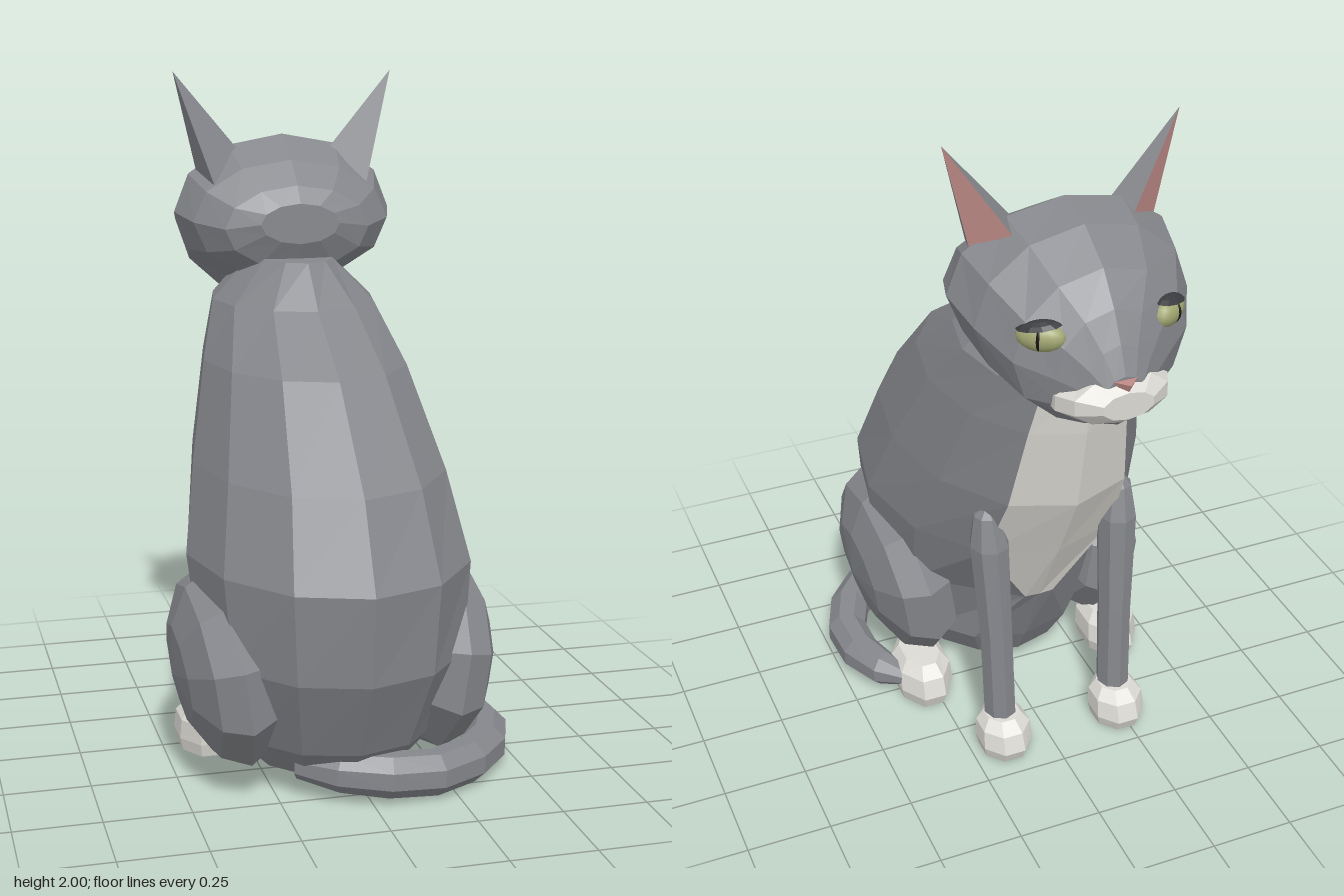
import * as THREE from 'three';

const mat = (color, opts = {}) => new THREE.MeshStandardMaterial({ color, flatShading: true, ...opts });
const FUR = mat(0x85878c), LIGHT = mat(0xdcdad4), DARK = mat(0x3c3d40);
const EAR = mat(0x85878c, { side: THREE.DoubleSide }), PINK = mat(0xc08c88, { side: THREE.DoubleSide });
const IRIS = mat(0xa3a873, { flatShading: false }), PUPIL = mat(0x151515, { flatShading: false });

function add(parent, name, geometry, material) {
  const mesh = new THREE.Mesh(geometry, material);
  mesh.name = name;
  parent.add(mesh);
  return mesh;
}

function fromTriangles(points) {
  const g = new THREE.BufferGeometry().setFromPoints(points);
  g.computeVertexNormals();
  return g;
}

// Skin between rings of points; keep(i, j) selects quads, ends are capped on request
function loft(rings, keep = () => true, caps = true) {
  const out = [], n = rings[0].length;
  for (let i = 0; i < rings.length - 1; i++) {
    for (let j = 0; j < n; j++) {
      if (!keep(i, j)) continue;
      const k = (j + 1) % n;
      const a = rings[i][j], b = rings[i][k], c = rings[i + 1][k], d = rings[i + 1][j];
      out.push(a, b, c, a, c, d);
    }
  }
  if (caps) {
    [rings[0], rings[rings.length - 1]].forEach((ring, end) => {
      const mid = ring.reduce((m, p) => m.add(p), new THREE.Vector3()).divideScalar(n);
      ring.forEach((p, j) => {
        const q = ring[(j + 1) % n];
        out.push(...(end ? [mid, p, q] : [mid, q, p]));
      });
    });
  }
  return fromTriangles(out);
}

// Horizontal ring: height, front z, back z, half width, centre x
function levelRing([y, z0, z1, w, x = 0], n, warp = (a) => a) {
  return Array.from({ length: n }, (_, j) => {
    const a = warp((j / n) * Math.PI * 2, j);
    return new THREE.Vector3(x + w * Math.sin(a), y, (z0 + z1) / 2 + ((z1 - z0) / 2) * Math.cos(a));
  });
}

// Upright ring: depth z, bottom y, top y, half width
function uprightRing([z, y0, y1, w], n) {
  return Array.from({ length: n }, (_, j) => {
    const a = (j / n) * Math.PI * 2;
    return new THREE.Vector3(w * Math.sin(a), (y0 + y1) / 2 + ((y1 - y0) / 2) * Math.cos(a), z);
  });
}

function buildBody(cat) {
  const sections = [
    [0.06, -0.02, 0.5, 0.24], [0.16, -0.08, 0.6, 0.31], [0.4, -0.19, 0.72, 0.385],
    [0.66, -0.33, 0.745, 0.41], [0.9, -0.45, 0.63, 0.365], [1.17, -0.5, 0.37, 0.3],
    [1.33, -0.52, 0.13, 0.245], [1.455, -0.45, 0.01, 0.12],
  ];
  // The bib narrows to a point at the belly
  const rings = sections.map((s, i) => levelRing(s, 12, (a, j) =>
    i === 2 && (j === 5 || j === 7) ? Math.PI + (j - 6) * 0.12 : a));
  const bib = (i, j) => i >= 2 && (j === 5 || j === 6);
  add(cat, 'body', loft(rings, (i, j) => !bib(i, j)), FUR);
  add(cat, 'chestBib', loft(rings, bib, false), LIGHT);
}

function buildHead(cat) {
  const head = new THREE.Group();
  head.name = 'head';
  cat.add(head);
  const skull = [
    [-0.08, 1.5, 1.62, 0.12], [-0.12, 1.42, 1.67, 0.22], [-0.2, 1.38, 1.74, 0.3],
    [-0.32, 1.35, 1.81, 0.337], [-0.45, 1.3, 1.785, 0.31], [-0.57, 1.265, 1.715, 0.25],
    [-0.64, 1.285, 1.63, 0.16], [-0.685, 1.31, 1.55, 0.1], [-0.72, 1.35, 1.475, 0.06],
  ];
  add(head, 'skull', loft(skull.map((s) => uprightRing(s, 12))), FUR);
  const muzzle = [
    [-0.57, 1.34, 1.41, 0.17], [-0.64, 1.315, 1.46, 0.17],
    [-0.7, 1.325, 1.47, 0.14], [-0.745, 1.36, 1.44, 0.075],
  ];
  add(head, 'muzzle', loft(muzzle.map((s) => uprightRing(s, 10))), LIGHT);

  const nose = add(head, 'nose', new THREE.ConeGeometry(0.04, 0.045, 3), PINK);
  nose.rotation.x = Math.PI;
  nose.scale.z = 0.6;
  nose.position.set(0, 1.443, -0.731);

  for (const s of [1, -1]) {
    // Ear: hollow four-sided spike, pink on the outward front
    const p = (x, y, z) => new THREE.Vector3(s * x, y, z);
    const tip = p(0.337, 2, -0.305), inFront = p(0.165, 1.74, -0.39), inner = p(0.145, 1.77, -0.3);
    const back = p(0.235, 1.67, -0.2), outer = p(0.265, 1.69, -0.315);
    add(head, 'ear', fromTriangles([tip, inFront, inner, tip, inner, back, tip, back, outer]), EAR);
    add(head, 'innerEar', fromTriangles([tip, outer, inFront]), PINK);

    // Eye with slit pupil and heavy upper lid
    const eye = new THREE.Group();
    eye.name = 'eye';
    eye.position.set(s * 0.182, 1.565, -0.59);
    eye.rotation.y = Math.atan2(s * 0.6, -0.8);
    head.add(eye);
    const ball = new THREE.SphereGeometry(1, 14, 10);
    add(eye, 'iris', ball, IRIS).scale.set(0.068, 0.042, 0.035);
    add(eye, 'pupil', ball, PUPIL).scale.set(0.012, 0.04, 0.038);
    const lid = add(eye, 'eyelid', new THREE.SphereGeometry(1, 10, 3, 0, Math.PI * 2, 0, Math.PI * 0.3), DARK);
    lid.scale.set(0.078, 0.047, 0.042);
    lid.rotation.z = s * 0.2;
  }
}

function buildLegs(cat) {
  // Paw: bevelled block with a flat sole
  const paw = (name, x, z0, z1, w, h) => add(cat, name, loft([
    [0, z0 + 0.015, z1 - 0.01, w * 0.9, x], [h * 0.3, z0, z1, w, x],
    [h * 0.75, z0 + 0.02, z1, w * 0.95, x], [h, z0 + 0.06, z1 - 0.02, w * 0.65, x],
  ].map((s) => levelRing(s, 8, (a) => a + Math.PI / 8))), LIGHT);

  for (const s of [1, -1]) {
    const leg = [
      [0.09, -0.39, -0.28, 0.05, s * 0.19], [0.4, -0.375, -0.255, 0.05, s * 0.195],
      [0.72, -0.355, -0.225, 0.06, s * 0.205], [0.82, -0.325, -0.24, 0.04, s * 0.21],
      [0.85, -0.305, -0.27, 0.015, s * 0.21],
    ];
    add(cat, 'frontLeg', loft(leg.map((r) => levelRing(r, 8))), FUR);
    paw('frontPaw', s * 0.19, -0.465, -0.265, 0.085, 0.12);
    paw('hindPaw', s * 0.325, -0.14, 0.14, 0.092, 0.13);

    // Folded hind leg
    const haunch = add(cat, 'haunch', new THREE.SphereGeometry(1, 10, 6).rotateZ(Math.PI / 2), FUR);
    haunch.scale.set(0.155, 0.29, 0.365);
    haunch.position.set(s * 0.31, 0.335, 0.245);
    haunch.rotation.z = -s * 0.14;
  }
}

function buildTail(cat) {
  const path = new THREE.CatmullRomCurve3([
    [-0.14, 0.095, 0.45], [0.03, 0.085, 0.55], [0.23, 0.07, 0.555], [0.4, 0.066, 0.44],
    [0.485, 0.066, 0.27], [0.465, 0.066, 0.09], [0.37, 0.07, -0.05],
  ].map((p) => new THREE.Vector3(...p)));
  // Sweep a six-sided section, tapering at the ends
  const radii = [0.045, 0.062, 0.066, 0.066, 0.066, 0.066, 0.064, 0.062, 0.055, 0.02];
  const rings = radii.map((r, i) => {
    const t = i / (radii.length - 1), c = path.getPoint(t), dir = path.getTangent(t);
    const side = new THREE.Vector3().crossVectors(new THREE.Vector3(0, 1, 0), dir).normalize();
    const up = new THREE.Vector3().crossVectors(dir, side);
    return Array.from({ length: 8 }, (_, j) => {
      const a = ((j + 0.5) / 8) * Math.PI * 2;
      return c.clone().addScaledVector(side, r * Math.cos(a)).addScaledVector(up, r * Math.sin(a));
    });
  });
  add(cat, 'tail', loft(rings), FUR);
}

export function createModel() {
  const cat = new THREE.Group();
  cat.name = 'sittingCat';
  buildBody(cat);
  buildHead(cat);
  buildLegs(cat);
  buildTail(cat);
  cat.position.x = -0.045;
  const model = new THREE.Group();
  model.name = 'model';
  model.add(cat);
  return model;
}
